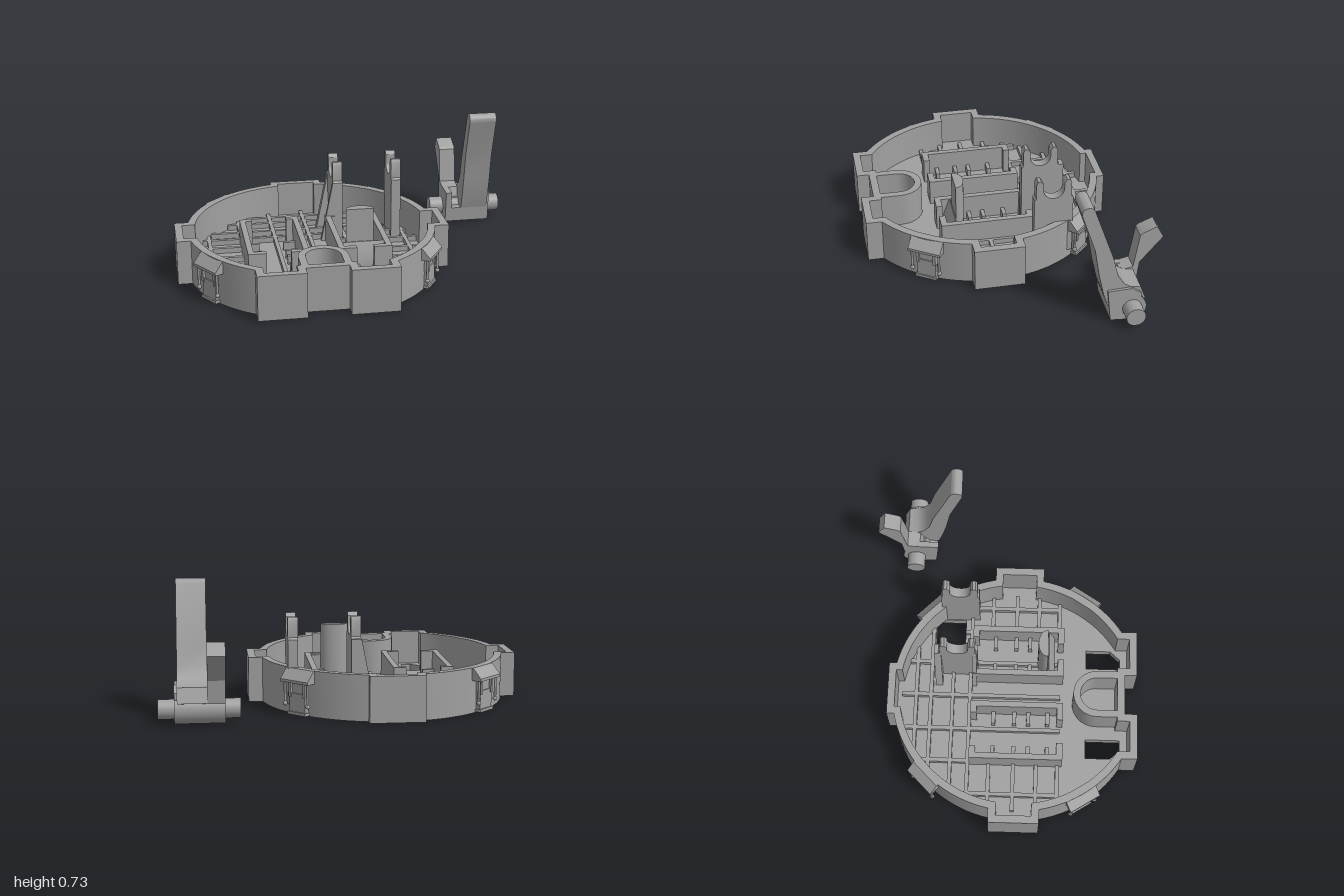
import * as THREE from 'three';
import { toCreasedNormals } from 'three/addons/utils/BufferGeometryUtils.js';

const CX = -0.245, CZ = 0.07;      // tray centre
const RX = 0.69, RZ = 0.705;       // tray radii
const T = 0.042, FLOOR = 0.05, RIM = 0.25;

export function createModel() {
  const root = new THREE.Group();
  const grey = new THREE.MeshStandardMaterial({ color: 0xa0a0a0 });
  grey.name = 'plain grey';

  // ---- helpers ----
  const add = (geo, name, parent = root) => {
    const m = new THREE.Mesh(geo, grey);
    m.name = name;
    parent.add(m);
    return m;
  };
  const box = (x0, x1, y0, y1, z0, z1, name, parent) => {
    const g = new THREE.BoxGeometry(x1 - x0, y1 - y0, z1 - z0);
    g.translate((x0 + x1) / 2, (y0 + y1) / 2, (z0 + z1) / 2);
    return add(g, name, parent);
  };
  const poly = (pts) => new THREE.Shape(pts.map(([a, b]) => new THREE.Vector2(a, b)));
  const extrude = (shape, depth) =>
    new THREE.ExtrudeGeometry(shape, { depth, bevelEnabled: false, curveSegments: 20 });
  // plan shape in (x, z), raised from y0 to y1
  const slab = (shape, y0, y1, name) => {
    const g = extrude(shape, y1 - y0).rotateX(Math.PI / 2).translate(0, y1, 0);
    return add(toCreasedNormals(g, 0.5), name);
  };
  // side profile in (z, y), running from x0 to x1
  const sideways = (pts, x0, x1, name, parent) => {
    const g = extrude(poly(pts), x1 - x0).rotateY(-Math.PI / 2).translate(x1, 0, 0);
    return add(toCreasedNormals(g, 0.5), name, parent);
  };
  const arc = (cx, cy, r, a0, a1, n = 14) =>
    Array.from({ length: n + 1 }, (_, i) => {
      const a = a0 + ((a1 - a0) * i) / n;
      return [cx + r * Math.cos(a), cy + r * Math.sin(a)];
    });

  // ---- tray outline, inset by t: rounded body with square tabs ----
  const outline = (t) => {
    const rx = RX - t, rz = RZ - t, half = [];
    const sweep = (a0, a1) => {
      for (let i = 0; i <= 20; i++) {
        const a = a0 + ((a1 - a0) * i) / 20;
        half.push([rx * Math.sin(a), -rz * Math.cos(a)]);
      }
    };
    const back = 0.15 - t, side = 0.14 - t, front = 0.375 - t;
    half.push([back, -0.73 + t]);
    sweep(Math.asin(back / rx), Math.acos(side / rz));
    half.push([0.755 - t, -side], [0.755 - t, side]);
    sweep(Math.acos(-side / rz), Math.PI - Math.asin(front / rx));
    half.push([front, 0.68 - t], [0.115 + t, 0.68 - t], [0.115 + t, 0.61 - t]);
    const other = half.map(([u, v]) => [-u, v]).reverse();
    return [...half, ...other].map(([u, v]) => [u + CX, v + CZ]);
  };

  // floor with its openings
  const floor = poly(outline(0));
  const holes = [
    [[-0.57, 0.47], [-0.46, 0.47], [-0.46, 0.665], [-0.52, 0.665], [-0.57, 0.61]],
    [[0.03, 0.47], [0.14, 0.47], [0.14, 0.61], [0.09, 0.665], [0.03, 0.665]],
    [[0.05, -0.41], [0.25, -0.41], [0.25, -0.24], [0.05, -0.24]],
  ];
  // keep the front openings inside the side walls
  holes[1] = holes[0].map(([x, z]) => [2 * CX - x, z]);
  holes.forEach((h) => floor.holes.push(poly(h)));
  slab(floor, 0, FLOOR, 'floor');

  const wall = poly(outline(0));
  wall.holes.push(poly(outline(T)));
  slab(wall, FLOOR, RIM, 'outerWall');

  // U-shaped pocket at the front
  const pocket = poly([
    [CX + 0.135, 0.66], ...arc(CX, 0.525, 0.135, 0, -Math.PI), [CX - 0.135, 0.66],
    [CX - 0.095, 0.66], ...arc(CX, 0.525, 0.095, -Math.PI, 0), [CX + 0.095, 0.66],
  ]);
  slab(pocket, FLOOR, RIM, 'frontPocket');

  // ---- floor ribs, trimmed to the wall ----
  const top = FLOOR + 0.03, w = 0.011;
  const reachZ = (x) => (RZ - T) * Math.sqrt(1 - ((x - CX) / (RX - T)) ** 2);
  const reachX = (z) => (RX - T) * Math.sqrt(1 - ((z - CZ) / (RZ - T)) ** 2);
  for (const x of [-0.8, -0.61, -0.42, -0.22, -0.02, 0.17, 0.32]) {
    const z0 = CZ - reachZ(x), z1 = Math.min(0.32, CZ + reachZ(x));
    const spans = x === 0.17 ? [[z0, -0.41], [-0.24, z1]] : [[z0, z1]];
    spans.forEach(([a, b]) => box(x - w, x + w, FLOOR, top, a, b, 'longRib'));
  }
  for (const z of [-0.51, -0.425, -0.2])
    box(CX - reachX(z), CX + reachX(z), FLOOR, top, z - w, z + w, 'crossRib');
  for (const z of [-0.3, -0.08, 0.06, 0.19, 0.31]) {
    const r = reachX(z);
    box(CX - r, -0.61, FLOOR, top, z - w, z + w, 'sideRib');
    box(z === -0.3 ? 0.3 : 0.16, CX + r, FLOOR, top, z - w, z + w, 'sideRib');
  }
  box(-0.61, 0.05, FLOOR, top, -0.31, -0.29, 'crossRib');

  // ---- two holders, each a pair of facing C-shaped walls with teeth ----
  for (const [x0, x1] of [[-0.625, -0.29], [-0.13, 0.165]]) {
    for (const [x, d] of [[x0, 1], [x1, -1]]) {
      const bar = (len, y, z0, z1, name) =>
        box(Math.min(x, x + d * len), Math.max(x, x + d * len), FLOOR, y, z0, z1, name);
      bar(0.032, 0.2, -0.19, 0.335, 'holderWall');
      bar(0.07, 0.2, -0.19, -0.155, 'holderLip');
      bar(0.1, 0.2, 0.3, 0.335, 'holderLip');
      for (const z of [-0.06, 0.06, 0.14, 0.25]) bar(0.1, 0.1, z - w, z + w, 'holderTooth');
    }
  }
  // stop wedge and half-round column beside it
  sideways([[0.245, FLOOR], [0.285, FLOOR], [0.285, 0.1], [0.25, 0.2], [0.245, 0.2]],
    -0.13, 0.14, 'stopWedge');
  const column = poly([[0.077, 0.24], ...arc(0, 0.235, 1, 0, -Math.PI)
    .map(([a, b]) => [a * 0.077, 0.235 + (b - 0.235) * 0.05]), [-0.077, 0.24]]);
  slab(column, FLOOR, 0.387, 'roundedColumn');

  // ---- pivot cradles ----
  const cradle = [
    [-0.158, FLOOR], [-0.158, 0.4], [-0.168, 0.41], [-0.168, 0.5], [-0.178, 0.52],
    [-0.195, 0.52], [-0.209, 0.5], ...arc(-0.267, 0.463, 0.058, 0, -Math.PI),
    [-0.325, 0.5], [-0.339, 0.52], [-0.356, 0.52], [-0.366, 0.5], [-0.366, 0.41],
    [-0.376, 0.4], [-0.376, FLOOR],
  ];
  sideways(cradle, -0.085, -0.03, 'pivotCradle');
  sideways(cradle, 0.255, 0.31, 'pivotCradle');
  for (const [z, d] of [[-0.4, 0.04], [-0.188, 0.025]])
    add(extrude(poly([[-0.155, FLOOR], [-0.03, FLOOR], [-0.03, 0.4], [-0.085, 0.4]]), d)
      .translate(0, 0, z), 'cradleGusset');

  // ---- four hooded clips on the rim ----
  for (const [u, v, r] of [[0.843, 0.538, 0.685], [0.707, -0.707, 0.695]])
    for (const s of [-1, 1]) {
      const clip = new THREE.Group();
      clip.name = 'rimClip';
      clip.position.set(CX + s * u * r, 0, CZ + v * r);
      clip.rotation.y = Math.atan2(s * u, v);
      root.add(clip);
      sideways([[-0.035, 0.25], [0.005, 0.25], [0.055, 0.195], [0.055, 0.18], [-0.035, 0.18]],
        -0.095, 0.095, 'clipHood', clip);
      box(-0.055, 0.055, 0.004, 0.12, -0.02, 0.028, 'clipTongue', clip);
      box(-0.062, 0.062, 0.004, 0.02, -0.02, 0.036, 'clipFoot', clip);
      box(-0.04, 0.04, 0.12, 0.17, -0.02, 0.022, 'clipNeck', clip);
      for (const k of [-1, 1]) {
        box(k * 0.05 - 0.008, k * 0.05 + 0.008, 0.1, 0.18, -0.02, 0.034, 'clipJamb', clip);
        add(new THREE.CylinderGeometry(0.007, 0.007, 0.125, 10)
          .translate(k * 0.08, 0.1225, 0.035), 'clipPost', clip);
        add(new THREE.SphereGeometry(0.013, 12, 8).translate(k * 0.08, 0.06, 0.035), 'clipBall', clip);
      }
    }

  // ---- separate lever ----
  const lever = new THREE.Group();
  lever.name = 'lever';
  root.add(lever);
  const AZ = -0.555, AY = 0.078;
  const rod = (r, x0, x1, name) => add(new THREE.CylinderGeometry(r, r, x1 - x0, 32)
    .rotateZ(Math.PI / 2).translate((x0 + x1) / 2, AY, AZ), name, lever);
  rod(0.052, 0.57, 1, 'leverAxle');
  rod(0.078, 0.65, 0.915, 'leverHub');
  sideways([[-0.555, 0.003], [-0.44, 0.012], [-0.43, 0.1], [-0.485, 0.1], [-0.5, 0.14], [-0.61, 0.14]],
    0.65, 0.915, 'hubBlock', lever);
  for (const [x0, x1] of [[0.65, 0.685], [0.895, 0.915]])
    sideways([[-0.43, 0.1], [-0.42, 0.2], [-0.55, 0.205], [-0.6, 0.17], [-0.61, 0.1]], x0, x1, 'hubCheek', lever);
  sideways([
    ...arc(-0.303, 0.695, 0.035, -0.35, Math.PI - 0.35),
    [-0.445, 0.4], [-0.474, 0.287], [-0.51, 0.23], [-0.55, 0.205], [-0.6, 0.2],
    [-0.63, 0.12], [-0.555, 0.1], [-0.425, 0.1], [-0.4, 0.178], [-0.372, 0.3], [-0.345, 0.46],
  ], 0.742, 0.9, 'longHandle', lever);
  sideways([[-0.5, 0.1], [-0.53, 0.2], [-0.6, 0.215], [-0.63, 0.41], [-0.645, 0.425], [-0.72, 0.457],
    [-0.757, 0.39], [-0.635, 0.24], [-0.62, 0.1]], 0.65, 0.744, 'shortArm', lever);

  return root;
}
